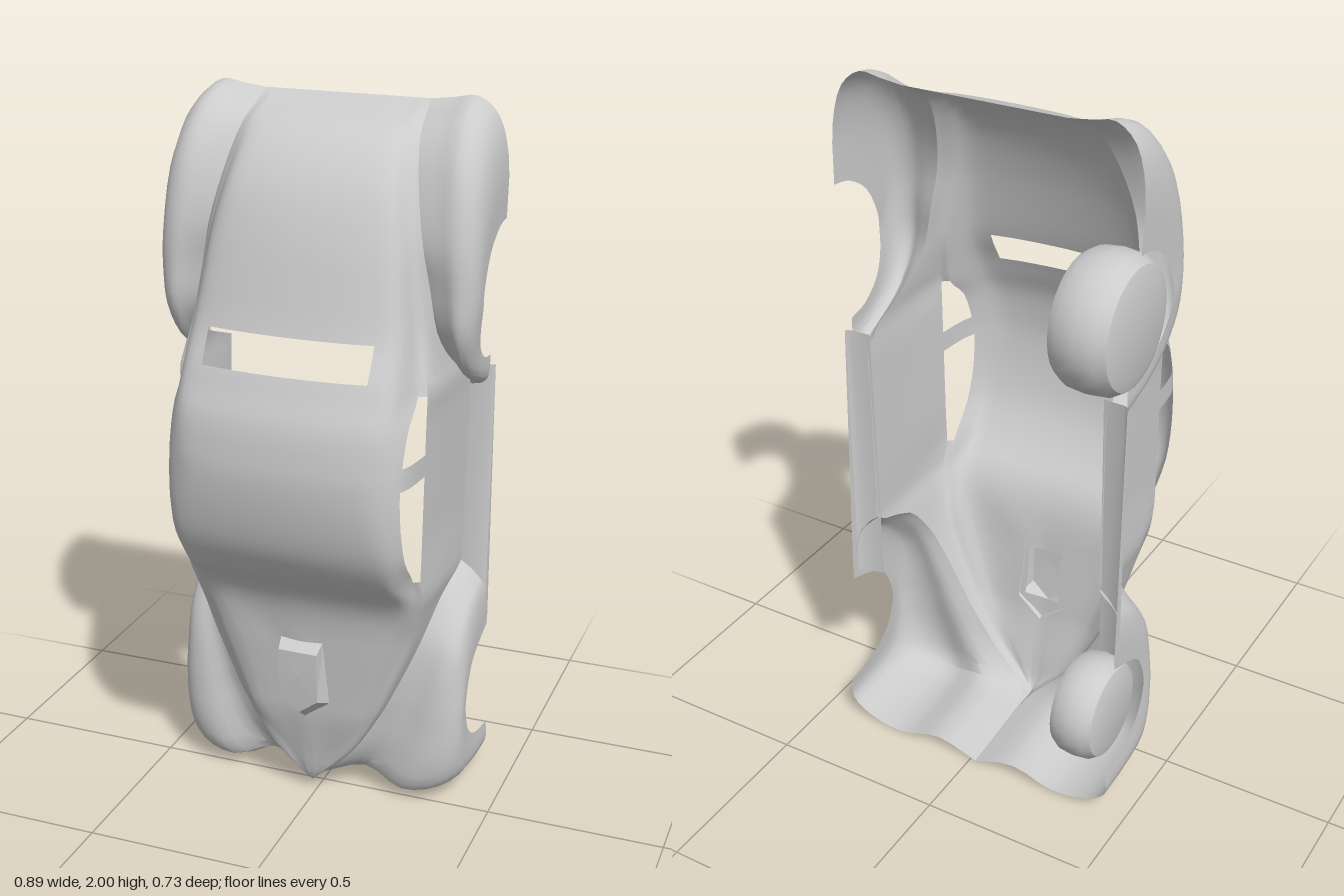
import * as THREE from 'three';
import { toCreasedNormals } from 'three/addons/utils/BufferGeometryUtils.js';

const { lerp, clamp, degToRad } = THREE.MathUtils;
const material = new THREE.MeshStandardMaterial({ color: 0xcccccc, side: THREE.DoubleSide });

// Splits every span of a point row into n smooth pieces.
const refine = (row, n) => {
  const curve = new THREE.CatmullRomCurve3(row);
  const count = (row.length - 1) * n;
  return Array.from({ length: count + 1 }, (_, i) => curve.getPoint(i / count));
};

// Skins rows of points; skip(row, column) leaves a control cell open.
function loft(name, rows, n, skip = () => false, crease = 0.6) {
  const grid = rows.map(r => refine(r.map(p => new THREE.Vector3(...p)), n));
  const columns = grid[0].map((_, c) => refine(grid.map(r => r[c]), n));
  const pos = [];
  for (let c = 0; c < columns.length - 1; c++) {
    for (let r = 0; r < columns[0].length - 1; r++) {
      if (skip(Math.floor(r / n), Math.floor(c / n))) continue;
      const a = columns[c][r], b = columns[c + 1][r];
      const d = columns[c][r + 1], e = columns[c + 1][r + 1];
      for (const p of [a, b, e, a, e, d]) pos.push(p.x, p.y, p.z);
    }
  }
  const g = new THREE.BufferGeometry();
  g.setAttribute('position', new THREE.Float32BufferAttribute(pos, 3));
  const mesh = new THREE.Mesh(toCreasedNormals(g, crease), material);
  mesh.name = name;
  return mesh;
}

// Value at height y along a line of [y, value] keys.
const along = (...keys) => y => {
  let i = 1;
  while (i < keys.length - 1 && y > keys[i][0]) i++;
  const [y0, v0] = keys[i - 1], [y1, v1] = keys[i];
  return lerp(v0, v1, clamp((y - y0) / (y1 - y0), 0, 1));
};

// Outlines of the body from nose (low y) to tail (high y)
const centreZ = along([0.03, 0.045], [0.05, 0.062], [0.28, 0.115], [0.62, 0.157], [0.7, 0.197],
  [0.77, 0.262], [0.86, 0.32], [0.96, 0.35], [1.07, 0.365], [1.13, 0.363], [1.22, 0.35],
  [1.34, 0.302], [1.43, 0.255], [1.66, 0.19], [1.8, 0.13], [1.91, 0.03], [1.985, -0.16]);
const roofDrop = along([0.05, 0.005], [0.55, 0.012], [0.77, 0.022], [0.86, 0.03],
  [1.07, 0.04], [1.34, 0.047], [1.66, 0.04], [1.91, 0.02], [1.985, 0]);
const roofX = along([0.03, 0], [0.05, 0.01], [0.28, 0.15], [0.55, 0.24], [0.7, 0.29],
  [0.86, 0.3], [1.07, 0.28], [1.29, 0.288], [1.43, 0.28], [1.66, 0.25], [1.985, 0.18]);
const openingX = along([0.03, 0], [0.05, 0.008], [0.28, 0.057], [0.5, 0.057], [0.77, 0.24],
  [1.07, 0.224], [1.43, 0.226], [1.66, 0.2], [1.985, 0.144]);
const sillZ = along([0.03, 0.01], [0.05, 0.04], [0.15, 0.07], [0.55, 0.09], [0.7, 0.13],
  [0.77, 0.152], [1.29, 0.16], [1.43, 0.12], [1.66, 0.1], [1.8, 0.055], [1.91, -0.02],
  [1.985, -0.16]);
const seamX = along([0.03, 0], [0.05, 0.02], [0.15, 0.12], [0.28, 0.2], [0.42, 0.27],
  [0.55, 0.315], [0.7, 0.355], [1.29, 0.36], [1.43, 0.335], [1.66, 0.295], [1.985, 0.23]);
const seamZ = along([0.01, -0.28], [0.03, -0.07], [0.05, 0.03], [0.15, 0.05], [0.42, 0.04],
  [0.55, 0.01], [0.64, -0.06], [0.7, -0.2], [1.22, -0.19], [1.29, -0.13], [1.34, -0.02],
  [1.43, 0.06], [1.66, 0.08], [1.8, 0.04], [1.91, -0.03], [1.985, -0.16]);

// One full cross-section: seam, sill, window top, roof edge, centre and back.
function section(y) {
  const zc = centreZ(y), zr = zc - roofDrop(y), xr = roofX(y), xs = seamX(y) * 0.96;
  const windowArch = Math.sin(Math.PI * clamp((y - 0.77) / 0.52, 0, 1));
  const zw = Math.min(zr, sillZ(y) + 0.014 + 0.12 * Math.max(0, windowArch) ** 0.6);
  const half = [[seamX(y), y, seamZ(y)], [xs, y, sillZ(y)], [lerp(xs, xr, 0.35), y, zw],
    [xr, y, zr], [openingX(y), y, lerp(zc, zr, 0.45)]];
  return [...half, [0, y, zc], ...half.map(([x, , z]) => [-x, y, z]).reverse()];
}

function bodyShell() {
  const stations = [0.03, 0.05, 0.15, 0.28, 0.34, 0.5, 0.57, 0.64, 0.7, 0.77, 0.86, 0.96,
    1.07, 1.13, 1.22, 1.29, 1.34, 1.43, 1.55, 1.66, 1.8, 1.91, 1.96, 1.985];
  const open = (r, c) => {
    const y = stations[r];
    const sideWindow = (c === 1 || c === 8) && y >= 0.77 && y < 1.29 && y !== 1.07;
    const scoopOrRearWindow = (y === 0.34 || y === 1.34) && (c === 4 || c === 5);
    return sideWindow || scoopOrRearWindow;
  };
  return loft('bodyShell', stations.map(section), 3, open);
}

// Rows sweep around the wheel: seam height, crest y and z, arch angle, arch radius.
// Each runs from the body seam through the valley and crest to the wheel arch.
function fenderRows({ hubY, hubZ, radius, outerX, valley, rows }) {
  return rows.map(([sy, cy, cz, deg, r = radius]) => {
    const sx = seamX(sy), sz = seamZ(sy), ox = outerX(cy);
    const ay = hubY + r * Math.cos(degToRad(deg)), az = hubZ + r * Math.sin(degToRad(deg));
    const dip = valley * (ox - sx) / ox;
    const across = t => lerp(sx, ox, t);
    return [[sx, sy, sz],
      [across(0.3), (sy + cy) / 2 + dip, Math.max(-0.28, (sz + cz) / 2 - dip)],
      [across(0.6), cy, cz],
      [across(0.86), lerp(cy, ay, 0.14), lerp(cz, az, 0.14)],
      [ox, lerp(cy, ay, 0.48), lerp(cz, az, 0.48)],
      [ox, ay, az]];
  });
}
const frontFender = fenderRows({
  hubY: 0.315, hubZ: -0.205, radius: 0.153, outerX: () => 0.424, valley: 0.035,
  rows: [[0.01, 0.012, -0.28, 204, 0.185], [0.03, 0.02, -0.1, 180, 0.16], [0.05, 0.045, 0.02, 150],
    [0.15, 0.13, 0.04, 125], [0.28, 0.25, 0.035, 100], [0.34, 0.32, 0.03, 84],
    [0.5, 0.47, 0.008, 52], [0.57, 0.54, -0.025, 36], [0.64, 0.61, -0.09, 13],
    [0.7, 0.66, -0.2, -11, 0.175]],
});
const rearFender = fenderRows({
  hubY: 1.5, hubZ: -0.18, radius: 0.188, outerX: along([1.2, 0.41], [1.5, 0.44]), valley: 0,
  rows: [[1.985, 2, -0.16, 0], [1.96, 1.985, -0.1, 9], [1.91, 1.945, -0.03, 22],
    [1.8, 1.84, 0.05, 48], [1.66, 1.67, 0.095, 78], [1.55, 1.55, 0.1, 93],
    [1.43, 1.43, 0.093, 110], [1.34, 1.33, 0.03, 132], [1.29, 1.27, -0.07, 158],
    [1.22, 1.23, -0.18, 180]],
});
// Ledge along the lower body with a turned-down lip
const runningBoard = [0.5, 1.28].map((y, i) => [
  [0.352, y, -0.188], [0.41, y, -0.2 + 0.01 * i],
  [0.424, y, -0.212 + 0.015 * i], [0.424, y, -0.24 + 0.04 * i]]);

// Five-sided raised intake on the bonnet.
function bonnetScoop() {
  const ring = (w1, y1, z1, w2, y2, z2, tip, z3) => [
    [w1, y1, z1], [w2, y2, z2], [0, tip, z3], [-w2, y2, z2], [-w1, y1, z1], [w1, y1, z1]];
  const base = ring(0.062, 0.53, 0.138, 0.077, 0.33, 0.112, 0.27, 0.105);
  const rim = ring(0.056, 0.505, 0.175, 0.056, 0.355, 0.165, 0.31, 0.158);
  const centre = rim.map(() => [0, 0.43, 0.173]);
  const group = new THREE.Group();
  group.name = 'bonnetScoop';
  group.add(loft('scoopSides', [base, rim], 1, undefined, 0.1),
    loft('scoopTop', [rim, centre], 1, undefined, 0.1));
  return group;
}

// Tyre with a rounded tread, flat back and recessed hub on the +x side.
function wheel(name, radius, width, x, y, z) {
  const profile = [[0, -0.5], [0.68, -0.5], [0.87, -0.44], [0.97, -0.28], [1, 0], [0.97, 0.28],
    [0.87, 0.44], [0.7, 0.5], [0.42, 0.47], [0.39, 0.3], [0, 0.3]];
  const lathe = new THREE.LatheGeometry(
    profile.map(([r, w]) => new THREE.Vector2(r * radius, w * width)), 28);
  const mesh = new THREE.Mesh(toCreasedNormals(lathe, 0.6), material);
  mesh.name = name;
  mesh.rotation.z = -Math.PI / 2;
  mesh.position.set(x, y, z);
  return mesh;
}

export function createModel() {
  const model = new THREE.Group();
  model.name = 'car';

  const body = new THREE.Group();
  body.name = 'body';
  body.add(bodyShell(), bonnetScoop());
  for (const [side, s] of [['left', 1], ['right', -1]]) {
    const mirrored = rows => rows.map(r => r.map(([x, y, z]) => [s * x, y, z]));
    body.add(loft(side + 'FrontFender', mirrored(frontFender), 3),
      loft(side + 'RearFender', mirrored(rearFender), 3),
      loft(side + 'RunningBoard', mirrored(runningBoard), 1));
  }
  // The shell sits very slightly askew.
  body.position.x = -0.017;
  body.rotation.z = -0.011;
  model.add(body);

  // Wheels are fitted on one side only.
  model.add(wheel('rearWheel', 0.185, 0.18, -0.355, 1.5, -0.18),
    wheel('frontWheel', 0.15, 0.14, -0.355, 0.315, -0.205));
  return model;
}
